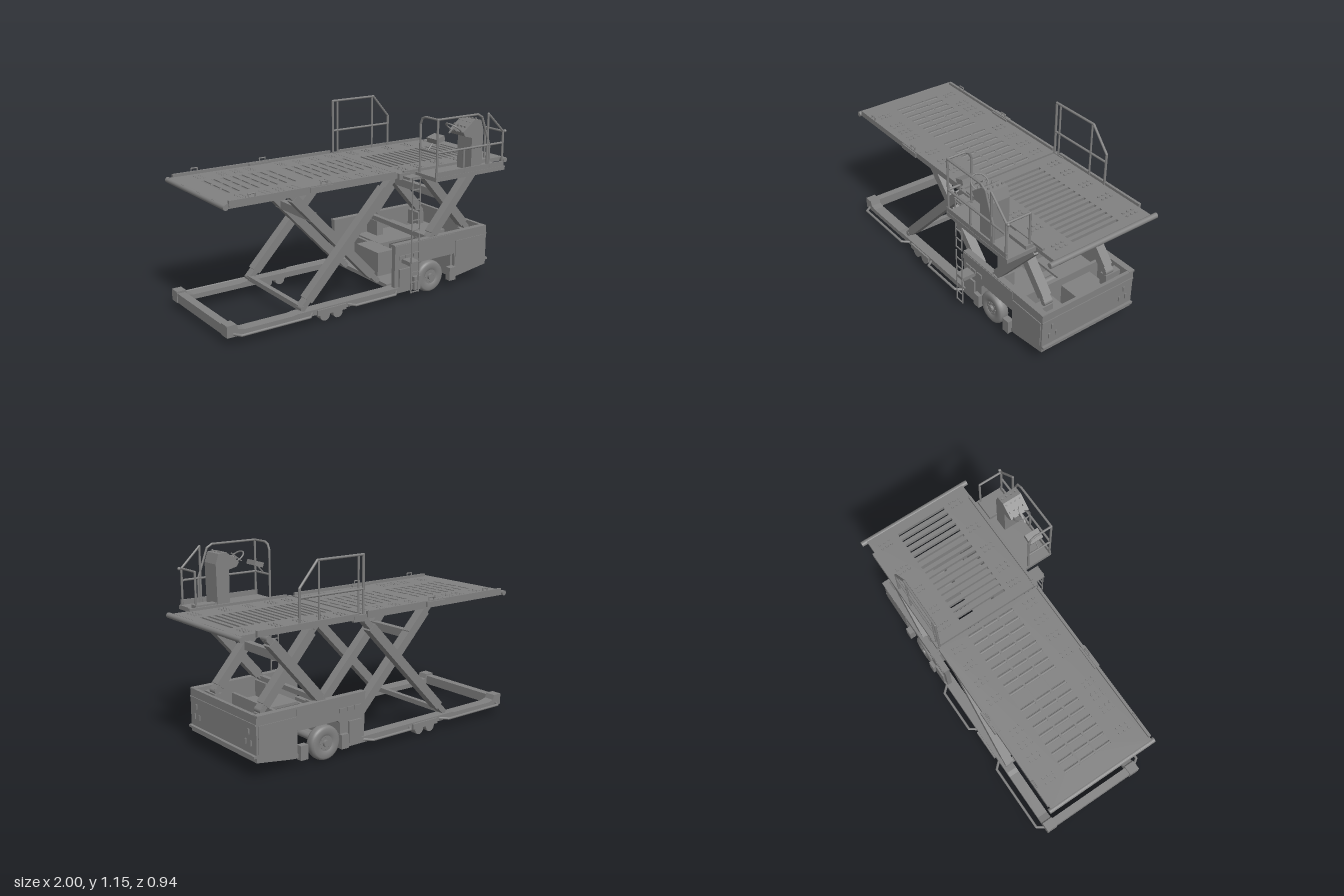
import * as THREE from 'three';

const GREY = 0x808080;
const mat = new THREE.MeshStandardMaterial({ color: GREY, side: THREE.DoubleSide });
const flat = new THREE.MeshStandardMaterial({ color: GREY, flatShading: true });
const ZC = -0.075; // centre line of the vehicle
const SIDES = [1, -1];
const sideZ = (s, d) => ZC + s * d;

function add(parent, name, geo, m = flat) {
  const mesh = new THREE.Mesh(geo, m);
  mesh.name = name;
  parent.add(mesh);
  return mesh;
}
// Box given by its limits
function box(p, name, x0, x1, y0, y1, z0, z1) {
  const m = add(p, name, new THREE.BoxGeometry(x1 - x0, y1 - y0, z1 - z0));
  m.position.set((x0 + x1) / 2, (y0 + y1) / 2, (z0 + z1) / 2);
  return m;
}
// Beam between two points in the xy plane
function beam(p, name, a, b, h, w, z) {
  const dx = b[0] - a[0], dy = b[1] - a[1];
  const m = add(p, name, new THREE.BoxGeometry(Math.hypot(dx, dy), h, w));
  m.position.set((a[0] + b[0]) / 2, (a[1] + b[1]) / 2, z);
  m.rotation.z = Math.atan2(dy, dx);
  return m;
}
// Round bar through a list of points
function pipe(p, name, pts, r = 0.007) {
  const v = pts.map(q => new THREE.Vector3(...q));
  for (let i = 1; i < v.length; i++)
    add(p, name, new THREE.TubeGeometry(new THREE.LineCurve3(v[i - 1], v[i]), 1, r, 8), mat);
  v.slice(1, -1).forEach(q => add(p, name + 'Joint', new THREE.SphereGeometry(r, 8, 6), mat).position.copy(q));
}
// Cylinder lying along z
function roll(p, name, x, y, z, r, w, n = 24) {
  const m = add(p, name, new THREE.CylinderGeometry(r, r, w, n), mat);
  m.rotation.x = Math.PI / 2;
  m.position.set(x, y, z);
  return m;
}
// Plate extruded along z from an xy outline
function plate(p, name, pts, z0, z1) {
  const s = new THREE.Shape(pts.map(q => new THREE.Vector2(...q)));
  const m = add(p, name, new THREE.ExtrudeGeometry(s, { depth: z1 - z0, bevelEnabled: false }));
  m.position.z = z0;
  return m;
}
// Deck plate with rectangular slots [x0, x1, z0, z1]
function slotted(p, name, [x0, x1, z0, z1], y0, y1, slots) {
  const rect = (T, [a, b, c, d]) => new T([[a, -d], [b, -d], [b, -c], [a, -c]].map(q => new THREE.Vector2(...q)));
  const s = rect(THREE.Shape, [x0, x1, z0, z1]);
  s.holes = slots.map(q => rect(THREE.Path, q));
  const m = add(p, name, new THREE.ExtrudeGeometry(s, { depth: y1 - y0, bevelEnabled: false }));
  m.rotation.x = -Math.PI / 2;
  m.position.y = y0;
}

function buildDecks(g) {
  const main = [], front = [];
  for (const start of [-0.865, -0.325])
    for (let i = 0; i < 8; i++)
      for (let j = 0; j < 3; j++) {
        const x = start + i * 0.061, z = -0.24 + j * 0.108;
        main.push([x, x + 0.022, z, z + 0.094]);
      }
  for (let i = 0; i < 16; i++) front.push([0.235 + i * 0.044, 0.253 + i * 0.044, -0.23, 0.1]);
  slotted(g, 'mainDeck', [-0.99, 0.155, -0.42, 0.27], 0.775, 0.803, main);
  slotted(g, 'frontDeck', [0.165, 0.975, -0.41, 0.28], 0.775, 0.8, front);
  box(g, 'slotPan', -0.9, 0.15, 0.783, 0.787, -0.26, 0.1);
  main.forEach(([a, b, c, d]) => roll(g, 'deckRoller', (a + b) / 2, 0.794, (c + d) / 2, 0.008, d - c, 8));
  roll(g, 'frontEndRoller', 0.984, 0.786, -0.065, 0.016, 0.76);
  roll(g, 'rearEndRoller', -0.984, 0.788, ZC, 0.016, 0.72);
  for (const s of SIDES) {
    const z = sideZ(s, 0.345);
    box(g, 'deckEdgeRail', -0.96, 0.14, 0.785, 0.82, z - 0.008, z + 0.008);
    box(g, 'deckEdgeRail', 0.2, 0.88, 0.78, 0.815, z - 0.008, z + 0.008);
    box(g, 'edgeStop', -0.46, -0.31, 0.785, 0.815, z - 0.02, z + 0.016);
    box(g, 'edgeStop', 0.16, 0.24, 0.768, 0.805, z - 0.01, z + 0.016);
    for (const x of [-0.82, -0.36])
      pipe(g, 'liftingHandle', [[x - 0.02, 0.81, z], [x - 0.02, 0.838, z], [x + 0.02, 0.838, z], [x + 0.02, 0.81, z]], 0.004);
    // Clusters of castors
    for (const x0 of [-0.85, -0.7, -0.61, -0.52, -0.3, -0.17, -0.05, 0.07, 0.24, 0.36, 0.52, 0.68, 0.88])
      for (let i = 0; i < 6; i++) {
        const c = add(g, 'castor', new THREE.CylinderGeometry(0.008, 0.009, 0.007, 8));
        c.position.set(x0 + (i % 2) * 0.032, 0.804, sideZ(s, 0.22 + (i >> 1) * 0.032));
      }
  }
}

function buildScissor(g, xa, xb, y0, y1, barY, narrowZ) {
  const lerp = (a, b, t) => [a[0] + (b[0] - a[0]) * t, a[1] + (b[1] - a[1]) * t];
  for (const s of SIDES) {
    const pairs = [[[xa, y0], [xb, y1], 0.303], [[xa, y1], [xb, y0], narrowZ]];
    for (const [a, b, d] of pairs) {
      beam(g, 'scissorArm', lerp(a, b, 0.06), lerp(a, b, 0.94), 0.055, 0.06, sideZ(s, d));
      beam(g, 'armEnd', a, b, 0.034, 0.054, sideZ(s, d));
      for (const q of [a, b]) roll(g, 'armPin', q[0], q[1], sideZ(s, d), 0.017, 0.058, 16);
    }
  }
  const x = xb + (xa - xb) * (barY - y0) / (y1 - y0);
  box(g, 'crossBar', x - 0.02, x + 0.02, barY - 0.025, barY + 0.025, sideZ(-1, 0.2), sideZ(1, 0.2));
  box(g, 'lowerCrossBar', xa - 0.015, xa + 0.015, y0 - 0.015, y0 + 0.015, sideZ(-1, 0.3), sideZ(1, 0.3));
}

function buildBaseFrame(g) {
  const rail = [[-1, 0.05], [0.3, 0.05], [0.3, 0.085], [-0.55, 0.085], [-0.58, 0.08], [-0.89, 0.08], [-0.93, 0.09], [-0.94, 0.12], [-1, 0.12]];
  for (const s of SIDES) {
    plate(g, 'baseRail', rail, sideZ(s, 0.315) - 0.034, sideZ(s, 0.315) + 0.034);
    for (const x of [-0.365, -0.275]) roll(g, 'supportWheel', x, 0.036, sideZ(s, 0.33), 0.033, 0.045);
    box(g, 'wheelCarrier', -0.42, -0.22, 0.045, 0.078, sideZ(s, 0.35) - 0.01, sideZ(s, 0.35) + 0.01);
    // Bowed side guards
    for (const [a, b] of [[-0.96, -0.45], [-0.2, 0.16]]) {
      const i = sideZ(s, 0.345), o = sideZ(s, 0.388);
      pipe(g, 'sideGuard', [[a, 0.066, i], [a + 0.03, 0.066, o], [b - 0.04, 0.066, o], [b, 0.066, i]], 0.008);
    }
  }
  box(g, 'endBeam', -0.995, -0.945, 0.05, 0.108, sideZ(-1, 0.3), sideZ(1, 0.3));
}

function buildChassis(g) {
  const side = [[0.15, 0.06], [0.33, 0.06], [0.33, 0.2], [0.35, 0.22], [0.625, 0.22], [0.625, 0.06], [0.66, 0.062], [0.89, 0.095], [0.89, 0.355], [0.15, 0.355]];
  const Z0 = sideZ(-1, 0.34), Z1 = sideZ(1, 0.34);
  for (const s of SIDES) {
    const z = sideZ(s, 0.325), o = sideZ(s, 0.338);
    plate(g, 'chassisSide', side, z - 0.015, z + 0.015);
    box(g, 'sidePanel', 0.63, 0.88, 0.14, 0.3, o - 0.007, o + 0.007);
    box(g, 'sideBand', 0.15, 0.63, 0.305, 0.352, o - 0.006, o + 0.006);
    box(g, 'sideLocker', 0.18, 0.27, 0.07, 0.2, o - 0.014, o + 0.014);
    for (const x of [0.18, 0.23, 0.29]) box(g, 'latch', x, x + 0.045, 0.26, 0.285, o - 0.009, o + 0.009);
    for (const x of [0.285, 0.57]) box(g, 'stabilizer', x, x + 0.05, 0.05, 0.135, sideZ(s, 0.345) - 0.02, sideZ(s, 0.345) + 0.02);
    box(g, 'topLip', 0.15, 0.89, 0.345, 0.357, z - 0.025, z + 0.015);
    // Cover above the wheel, leaving a gap along the centre line
    const inner = sideZ(s, 0.055);
    box(g, 'wheelCover', 0.33, 0.62, 0.215, 0.23, Math.min(inner, o), Math.max(inner, o));
    // Front fittings
    for (const [d, y] of [[0.24, 0.18], [0.29, 0.18], [0.27, 0.24]])
      box(g, 'frontLatch', 0.885, 0.9, y, y + 0.03, sideZ(s, d) - 0.006, sideZ(s, d) + 0.006);
    // Wheels
    const wheel = new THREE.Group();
    wheel.name = 'wheel';
    const prof = [[0.045, -0.026], [0.06, -0.033], [0.085, -0.033], [0.096, -0.026], [0.101, -0.012], [0.101, 0.012], [0.096, 0.026], [0.085, 0.033], [0.06, 0.033], [0.045, 0.026]];
    add(wheel, 'tyre', new THREE.LatheGeometry(prof.map(q => new THREE.Vector2(...q)), 36), mat).rotation.x = Math.PI / 2;
    roll(wheel, 'rim', 0, 0, 0, 0.05, 0.044);
    roll(wheel, 'hub', 0, 0, s * 0.01, 0.02, 0.056, 16);
    for (let i = 0; i < 8; i++) roll(wheel, 'wheelNut', 0.034 * Math.cos(i * Math.PI / 4), 0.034 * Math.sin(i * Math.PI / 4), s * 0.02, 0.005, 0.012, 6);
    wheel.position.set(0.43, 0.103, sideZ(s, 0.315));
    g.add(wheel);
  }
  roll(g, 'axle', 0.43, 0.103, ZC, 0.022, 0.6);
  box(g, 'frontWall', 0.87, 0.892, 0.095, 0.355, Z0, Z1);
  box(g, 'frontBumper', 0.88, 0.91, 0.122, 0.136, Z0, Z1);
  box(g, 'frontSeam', 0.885, 0.897, 0.3, 0.308, Z0, Z1);
  plate(g, 'frontFloor', [[0.62, 0.06], [0.89, 0.095], [0.89, 0.115], [0.62, 0.085]], Z0, Z1);
  box(g, 'middleBulkhead', 0.61, 0.63, 0.06, 0.28, Z0 + 0.02, Z1 - 0.02);
  box(g, 'rearFloor', 0.15, 0.38, 0.06, 0.085, Z0 + 0.08, Z1 - 0.08);
  box(g, 'rearBulkhead', 0.31, 0.33, 0.07, 0.22, Z0 + 0.02, Z1 - 0.02);
  box(g, 'hydraulicBox', 0.19, 0.31, 0.085, 0.24, -0.19, 0.04);
  box(g, 'engine', 0.65, 0.84, 0.09, 0.25, -0.3, -0.08);
  box(g, 'tank', 0.66, 0.83, 0.09, 0.22, 0.0, 0.2);
  for (const x of [0.44, 0.79]) for (const s of SIDES)
    box(g, 'armSupport', x - 0.025, x + 0.025, 0.23, 0.33, sideZ(s, 0.265) - 0.065, sideZ(s, 0.265) + 0.065);
}

function buildLadder(g) {
  const z = 0.355;
  for (const [y0, y1] of [[0.07, 0.44], [0.46, 0.79]]) {
    for (const x of [0.205, 0.262]) box(g, 'ladderRail', x - 0.003, x + 0.003, y0, y1, z - 0.003, z + 0.003);
    for (let y = y0 + 0.005; y < y1; y += 0.0625) box(g, 'rung', 0.205, 0.262, y - 0.003, y + 0.003, z - 0.003, z + 0.003);
  }
  box(g, 'ladderBracket', 0.2, 0.27, 0.24, 0.265, 0.26, 0.354);
  box(g, 'landing', 0.185, 0.265, 0.775, 0.79, 0.27, 0.35);
}

function buildStation(g) {
  const F = 0.462, B = 0.307;
  box(g, 'platform', 0.285, 0.83, 0.775, 0.8, 0.28, 0.47);
  box(g, 'toeBoard', 0.285, 0.82, 0.8, 0.83, F - 0.004, F + 0.006);
  box(g, 'platformStep', 0.68, 0.82, 0.798, 0.822, 0.29, 0.34);
  // Guard rails around the operator
  pipe(g, 'frontRail', [[0.295, 0.8, F], [0.295, 1.14, F], [0.6, 1.14, F], [0.635, 1.12, F], [0.7, 0.945, F], [0.7, 0.8, F]]);
  pipe(g, 'frontMidRail', [[0.295, 0.945, F], [0.8, 0.945, F]]);
  pipe(g, 'frontPost', [[0.5, 0.8, F], [0.5, 0.945, F]]);
  pipe(g, 'endArch', [[0.295, 1.14, F], [0.295, 1.14, 0.35], [0.295, 1.127, 0.322], [0.295, 1.095, B], [0.295, 0.8, B]]);
  pipe(g, 'endMidRail', [[0.295, 0.945, F], [0.295, 0.945, B]]);
  pipe(g, 'gateFrame', [[0.685, 0.8, F], [0.685, 1.135, F], [0.81, 1.015, F], [0.81, 0.8, F]]);
  pipe(g, 'gateEnd', [[0.81, 0.8, B], [0.81, 1.015, B], [0.81, 1.015, F]]);
  add(g, 'gateKnob', new THREE.SphereGeometry(0.01, 12, 8), mat).position.set(0.825, 1.015, F);
  // Control console
  plate(g, 'console', [[0.57, 0.8], [0.655, 0.8], [0.66, 1.04], [0.64, 1.1], [0.585, 1.105], [0.5, 1.04], [0.515, 1.015], [0.57, 1.0]], 0.325, 0.45);
  for (let i = 0; i < 12; i++) {
    const t = (i >> 2) / 2, k = add(g, 'controlKnob', new THREE.CylinderGeometry(0.006, 0.006, 0.02, 8), mat);
    k.position.set(0.53 + t * 0.085, 1.068 + t * 0.035, 0.34 + (i % 4) * 0.03);
    k.rotation.z = 0.5 - t * 0.4;
  }
  const wheel = add(g, 'steeringWheel', new THREE.TorusGeometry(0.05, 0.005, 8, 28), mat);
  wheel.position.set(0.48, 1.06, 0.385);
  wheel.rotation.set(-Math.PI / 2, 0.65, 0);
  beam(g, 'steeringColumn', [0.48, 1.06], [0.53, 1.02], 0.012, 0.012, 0.385);
  beam(g, 'steeringSpoke', [0.445, 1.087], [0.515, 1.033], 0.006, 0.01, 0.385).rotation.z = 0.65;
  beam(g, 'displayBox', [0.32, 1.02], [0.38, 1.0], 0.03, 0.09, 0.38).rotation.z = 0.3;
  pipe(g, 'displayArm', [[0.295, 0.95, 0.38], [0.34, 1.0, 0.38]], 0.005);
}

function buildDeckRail(g) {
  const z = -0.412;
  pipe(g, 'deckHandrail', [[0.16, 0.78, z], [0.16, 1.14, z], [0.48, 1.14, z], [0.6, 1.0, z], [0.6, 0.78, z]], 0.0075);
  pipe(g, 'deckHandrailMid', [[0.16, 0.948, z], [0.6, 0.948, z]]);
  for (const x of [0.195, 0.47]) pipe(g, 'deckHandrailPost', [[x, 0.78, z], [x, 1.14, z]], 0.006);
}

export function createModel() {
  const root = new THREE.Group();
  const part = (name, build) => {
    const g = new THREE.Group();
    g.name = name;
    build(g);
    root.add(g);
  };
  part('decks', buildDecks);
  part('mainScissorLift', g => buildScissor(g, -0.5, 0.125, 0.1, 0.755, 0.585, 0.17));
  part('frontScissorLift', g => buildScissor(g, 0.435, 0.795, 0.345, 0.755, 0.585, 0.23));
  part('baseFrame', buildBaseFrame);
  part('chassis', buildChassis);
  part('ladder', buildLadder);
  part('operatorStation', buildStation);
  part('deckHandrails', buildDeckRail);
  return root;
}
